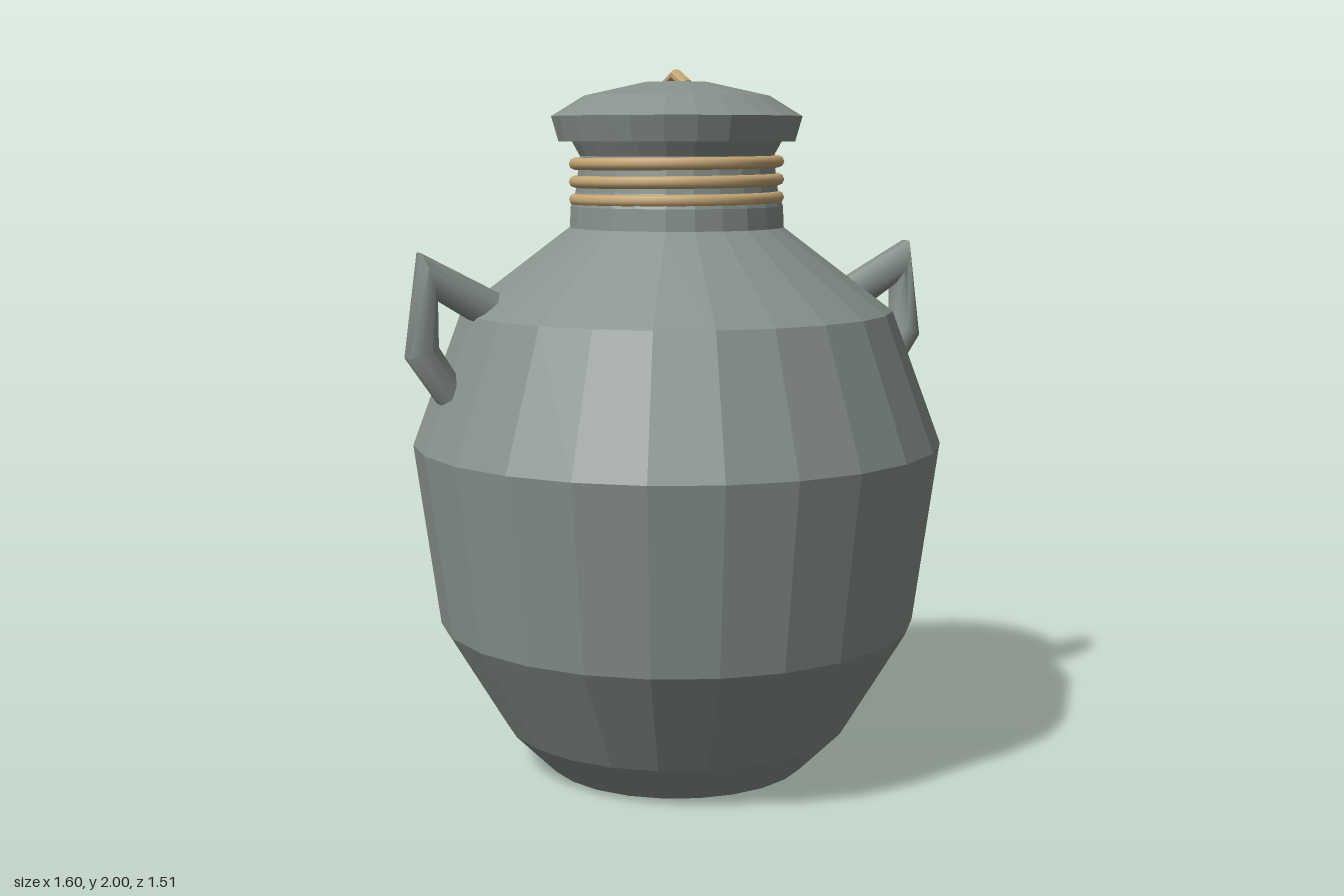
import * as THREE from 'three';
import { toCreasedNormals } from 'three/addons/utils/BufferGeometryUtils.js';

const SIDES = 24;
const clay = new THREE.MeshStandardMaterial({ color: 0x87918b, flatShading: true });
const smoothClay = new THREE.MeshStandardMaterial({ color: 0x87918b });
const rope = new THREE.MeshStandardMaterial({ color: 0xc4a574, side: THREE.DoubleSide });

function addMesh(parent, name, geometry, material) {
  const mesh = new THREE.Mesh(geometry, material);
  mesh.name = name;
  parent.add(mesh);
  return mesh;
}

function lathe(profile) {
  return new THREE.LatheGeometry(profile.map(([r, y]) => new THREE.Vector2(r, y)), SIDES);
}

// Octagonal bar through stations [outerX, outerY, innerX, innerY], with a fixed half depth in z
function bar(stations, halfDepth) {
  const n = 8, k = Math.cos(Math.PI / n);
  const pos = [], idx = [];
  const centres = stations.map(([ox, oy, ix, iy]) => [(ox + ix) / 2, (oy + iy) / 2]);
  stations.forEach(([ox, oy], i) => {
    const [cx, cy] = centres[i];
    for (let j = 0; j < n; j++) {
      const a = ((j + 0.5) / n) * Math.PI * 2;
      const c = Math.cos(a) / k, s = Math.sin(a) / k;
      pos.push(cx + (ox - cx) * c, cy + (oy - cy) * c, halfDepth * s);
    }
  });
  const last = stations.length - 1;
  for (let i = 0; i < last; i++) {
    for (let j = 0; j < n; j++) {
      const a = i * n + j, b = i * n + (j + 1) % n;
      idx.push(a, b, b + n, a, b + n, a + n);
    }
  }
  // End caps
  const start = pos.length / 3;
  pos.push(...centres[0], 0, ...centres[last], 0);
  for (let j = 0; j < n; j++) {
    const next = (j + 1) % n;
    idx.push(start, next, j, start + 1, last * n + j, last * n + next);
  }
  const g = new THREE.BufferGeometry();
  g.setAttribute('position', new THREE.Float32BufferAttribute(pos, 3));
  g.setIndex(idx);
  return toCreasedNormals(g, 0.9);
}

// One wrap of cord that sinks slightly, leaving a small step where its ends meet
class CordCurve extends THREE.Curve {
  constructor(radius, y, drop) {
    super();
    Object.assign(this, { radius, y, drop });
  }
  getPoint(t, target = new THREE.Vector3()) {
    const a = t * Math.PI * 2;
    return target.set(this.radius * Math.cos(a), this.y - this.drop * t, this.radius * Math.sin(a));
  }
}

export function createModel() {
  const model = new THREE.Group();
  model.name = 'lidded jar';

  // Faceted belly, shoulder and neck
  addMesh(model, 'body', lathe([
    [0, 0], [0.38, 0], [0.5, 0.12], [0.685, 0.43], [0.755, 0.95], [0.615, 1.325],
    [0.305, 1.56], [0.302, 1.62], [0.288, 1.66], [0.275, 1.76], [0.3, 1.805],
  ]), clay);

  // Shallow lid overhanging the neck
  addMesh(model, 'lid', lathe([
    [0.28, 1.815], [0.31, 1.8], [0.335, 1.8], [0.355, 1.87], [0.262, 1.927], [0.09, 1.965], [0, 1.967],
  ]), clay);

  // Bent rope loop on the lid
  const loop = addMesh(model, 'lidLoop', bar([
    [-0.08, 1.967, -0.065, 1.945], [0, 2, 0, 1.97], [0.08, 1.967, 0.065, 1.945],
  ], 0.018), rope);
  loop.rotation.y = Math.PI / 2;

  // Three cords around the neck
  const cords = new THREE.Group();
  cords.name = 'neckCords';
  model.add(cords);
  for (let i = 0; i < 3; i++) {
    const curve = new CordCurve(0.288, 1.646 + i * 0.05, 0.015);
    addMesh(cords, 'cord', new THREE.TubeGeometry(curve, 48, 0.017, 8, false), rope);
  }

  // Angular shoulder handles, one on each side
  const handle = bar([
    [0.54, 1.39, 0.59, 1.3],
    [0.76, 1.505, 0.715, 1.378],
    [0.8, 1.22, 0.715, 1.25],
    [0.71, 1.09, 0.65, 1.145],
  ], 0.05);
  addMesh(model, 'leftHandle', handle, smoothClay);
  addMesh(model, 'rightHandle', handle, smoothClay).rotation.y = Math.PI;

  return model;
}
